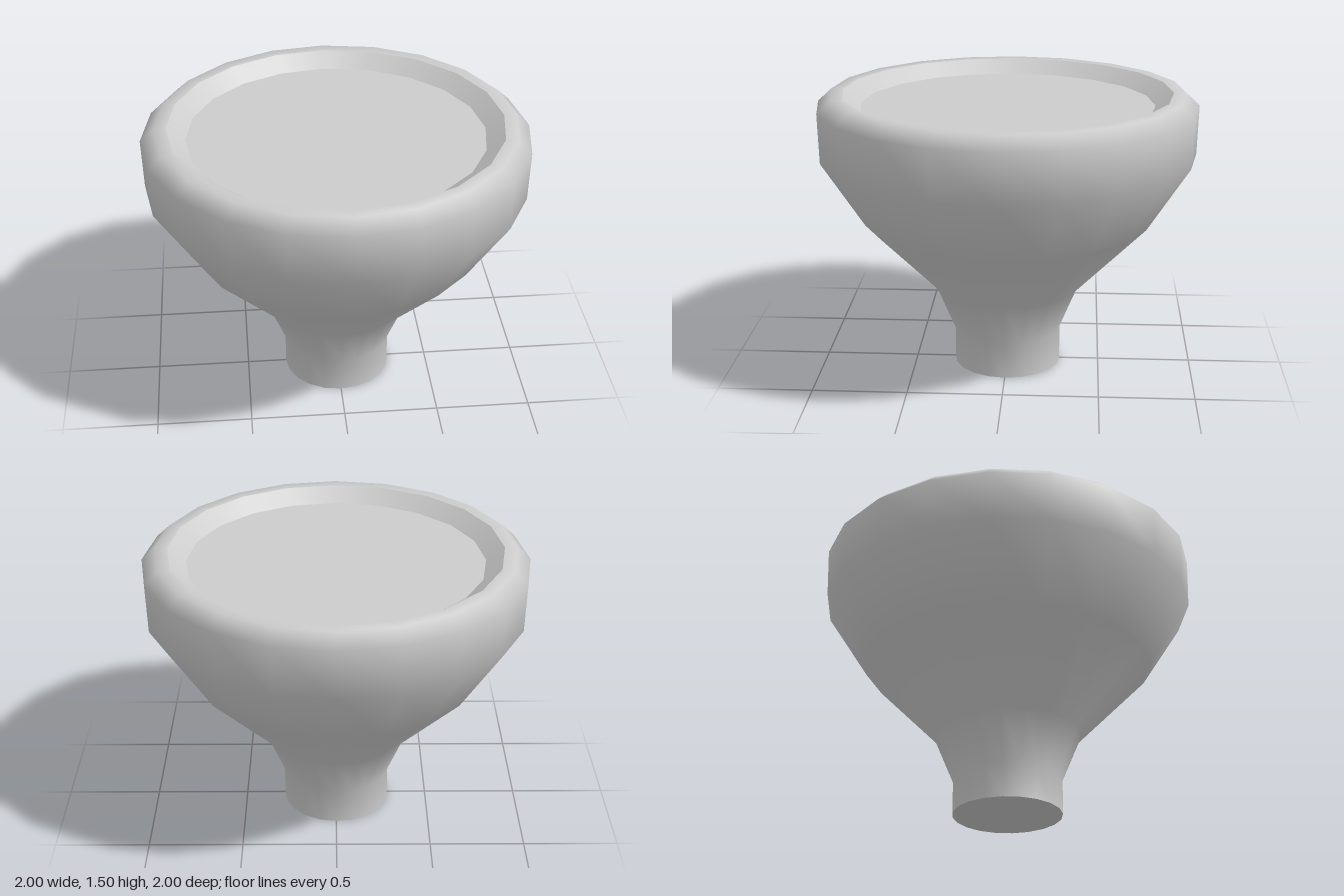
import * as THREE from 'three';

const SIDES = 20;

export function createModel() {
  const group = new THREE.Group();
  const material = new THREE.MeshStandardMaterial({ color: 0xcccccc });

  // Each part is its own lathe, so edges between parts stay sharp.
  const addLathe = (name, profile) => {
    const points = profile.map(([r, y]) => new THREE.Vector2(r, y));
    const mesh = new THREE.Mesh(new THREE.LatheGeometry(points, SIDES), material);
    mesh.name = name;
    group.add(mesh);
  };

  // Closed underside of the stem
  addLathe('stemBase', [[0, 0], [0.287, 0]]);

  // Stem flaring into the bowl and over the rounded rim
  addLathe('body', [
    [0.287, 0], [0.287, 0.19], [0.39, 0.44], [0.77, 0.83],
    [0.993, 1.18], [1, 1.44], [0.93, 1.505], [0.865, 1.505],
  ]);

  // Sloped wall inside the rim
  addLathe('innerWall', [[0.865, 1.505], [0.772, 1.435]]);

  // Flat recessed top
  addLathe('recessFloor', [[0.772, 1.435], [0, 1.435]]);

  return group;
}
